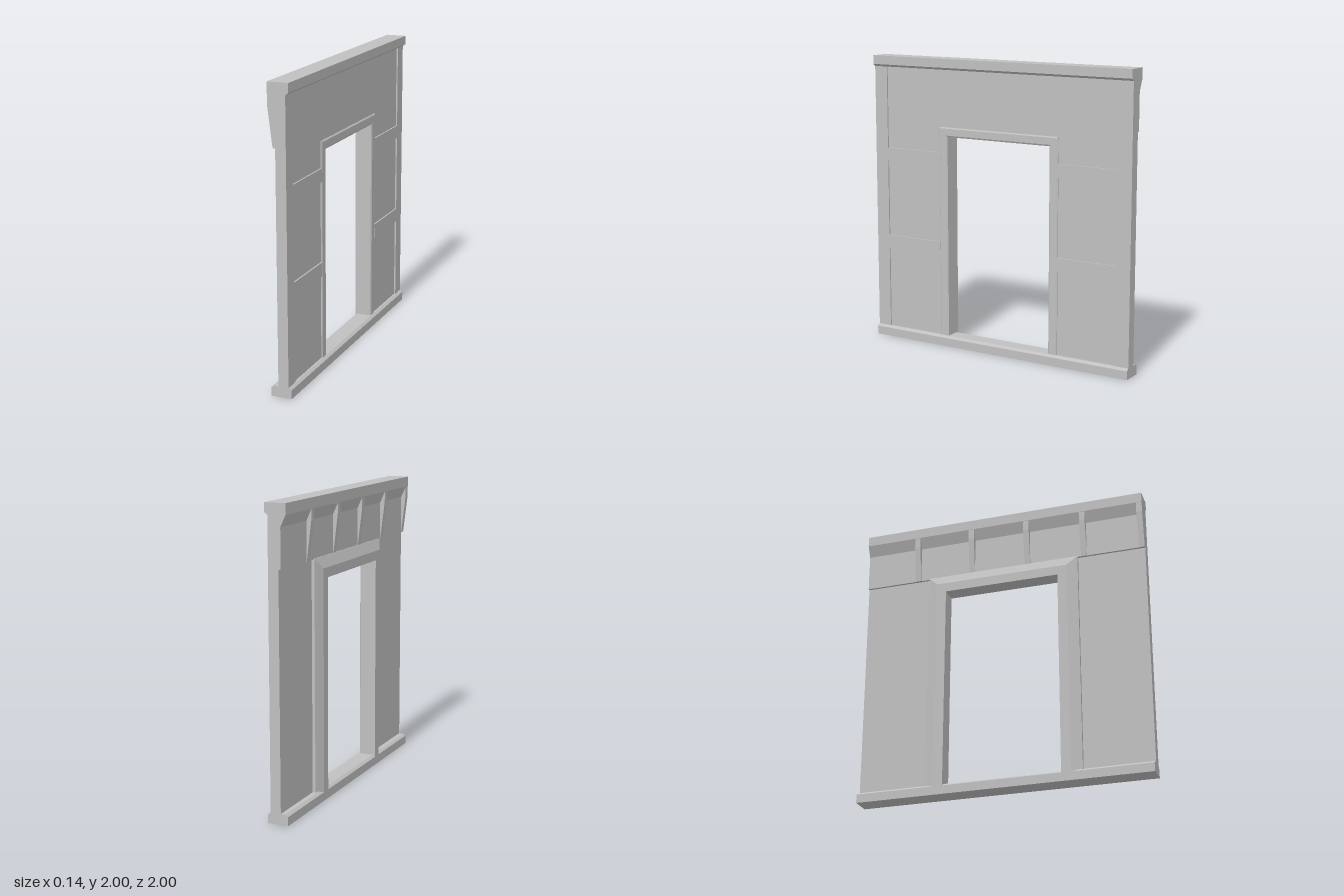
import * as THREE from 'three';

const DOOR_HALF = 0.4, DOOR_TOP = 1.47;

export function createModel() {
  const group = new THREE.Group();
  const stone = new THREE.MeshStandardMaterial({ color: 0xc0c0c0 });
  stone.name = 'grey stone';

  function add(name, geometry) {
    const mesh = new THREE.Mesh(geometry, stone);
    mesh.name = name;
    group.add(mesh);
    return mesh;
  }
  const toShape = (pts) => new THREE.Shape(pts.map(([a, b]) => new THREE.Vector2(a, b)));

  // Extrudes an (x, y) profile along z
  function addBeam(name, pts, z0, z1) {
    const g = new THREE.ExtrudeGeometry(toShape(pts), { depth: z1 - z0, bevelEnabled: false });
    return add(name, g.translate(0, 0, z0));
  }

  // Box given by its limits
  function addBox(name, x0, x1, y0, y1, z0, z1) {
    const g = new THREE.BoxGeometry(x1 - x0, y1 - y0, z1 - z0);
    return add(name, g.translate((x0 + x1) / 2, (y0 + y1) / 2, (z0 + z1) / 2));
  }

  // Sweeps a closed section of (offset from opening, x) around the doorway with mitred corners
  function addMoulding(name, section) {
    const n = section.length, pos = [], idx = [];
    for (const [side, top] of [[-1, false], [-1, true], [1, true], [1, false]]) {
      for (const [o, x] of section) pos.push(x, top ? DOOR_TOP + o : 0.055, side * (DOOR_HALF + o));
    }
    for (let i = 0; i < 3; i++) {
      for (let j = 0; j < n; j++) {
        const k = (j + 1) % n;
        const a = i * n + j, b = i * n + k, c = b + n, d = a + n;
        idx.push(a, d, c, a, c, b);
      }
    }
    let g = new THREE.BufferGeometry();
    g.setAttribute('position', new THREE.Float32BufferAttribute(pos, 3));
    g.setIndex(idx);
    g = g.toNonIndexed();
    g.computeVertexNormals();
    return add(name, g);
  }

  // Wall core with the doorway cut out, drawn in (z, y) and turned to face x
  const core = new THREE.ExtrudeGeometry(toShape([
    [-1, 0.03], [-DOOR_HALF, 0.03], [-DOOR_HALF, DOOR_TOP], [DOOR_HALF, DOOR_TOP],
    [DOOR_HALF, 0.03], [1, 0.03], [1, 1.97], [-1, 1.97],
  ]), { depth: 0.06, bevelEnabled: false });
  add('wallCore', core.rotateY(-Math.PI / 2).translate(0.04, 0, 0));

  // Sill and cornice running the whole length
  addBeam('sill', [
    [-0.07, 0], [0.07, 0], [0.07, 0.058], [0.052, 0.072], [-0.052, 0.072], [-0.07, 0.058],
  ], -1, 1);
  addBeam('cornice', [
    [-0.035, 1.855], [-0.02, 1.855], [-0.02, 1.925], [0.05, 1.925], [0.07, 1.94],
    [0.07, 2], [-0.07, 2], [-0.07, 1.93],
  ], -1, 1);

  // Raised end posts and rails framing the recessed panels
  for (const s of [-1, 1]) {
    const span = (a, b) => (s > 0 ? [a, b] : [-b, -a]);
    addBox('endPost', 0.03, 0.05, 0.05, 1.94, ...span(0.9, 1));
    for (const [y0, y1] of [[0.64, 0.735], [1.27, 1.36]]) {
      addBox('panelRail', 0.03, 0.05, y0, y1, ...span(0.46, 0.905));
    }
  }

  // Door surrounds on both faces
  addMoulding('panelSideDoorFrame', [
    [0.065, 0.03], [0.065, 0.045], [0.057, 0.05], [0.01, 0.05], [0, 0.044], [0, 0.03],
  ]);
  addMoulding('bracketSideDoorFrame', [
    [0, -0.01], [0, -0.07], [0.065, -0.07], [0.135, -0.04], [0.135, -0.01],
  ]);

  // Upper board carrying a row of tapered brackets
  addBox('upperBoard', -0.035, -0.015, 1.6, 1.94, -1, 1);
  for (let i = 0; i < 5; i++) {
    const z = -0.62 + i * 0.4;
    addBeam('bracket', [
      [-0.03, 1.6], [-0.03, 1.94], [-0.069, 1.94], [-0.069, 1.86], [-0.037, 1.6],
    ], z - 0.02, z + 0.02);
  }

  return group;
}
